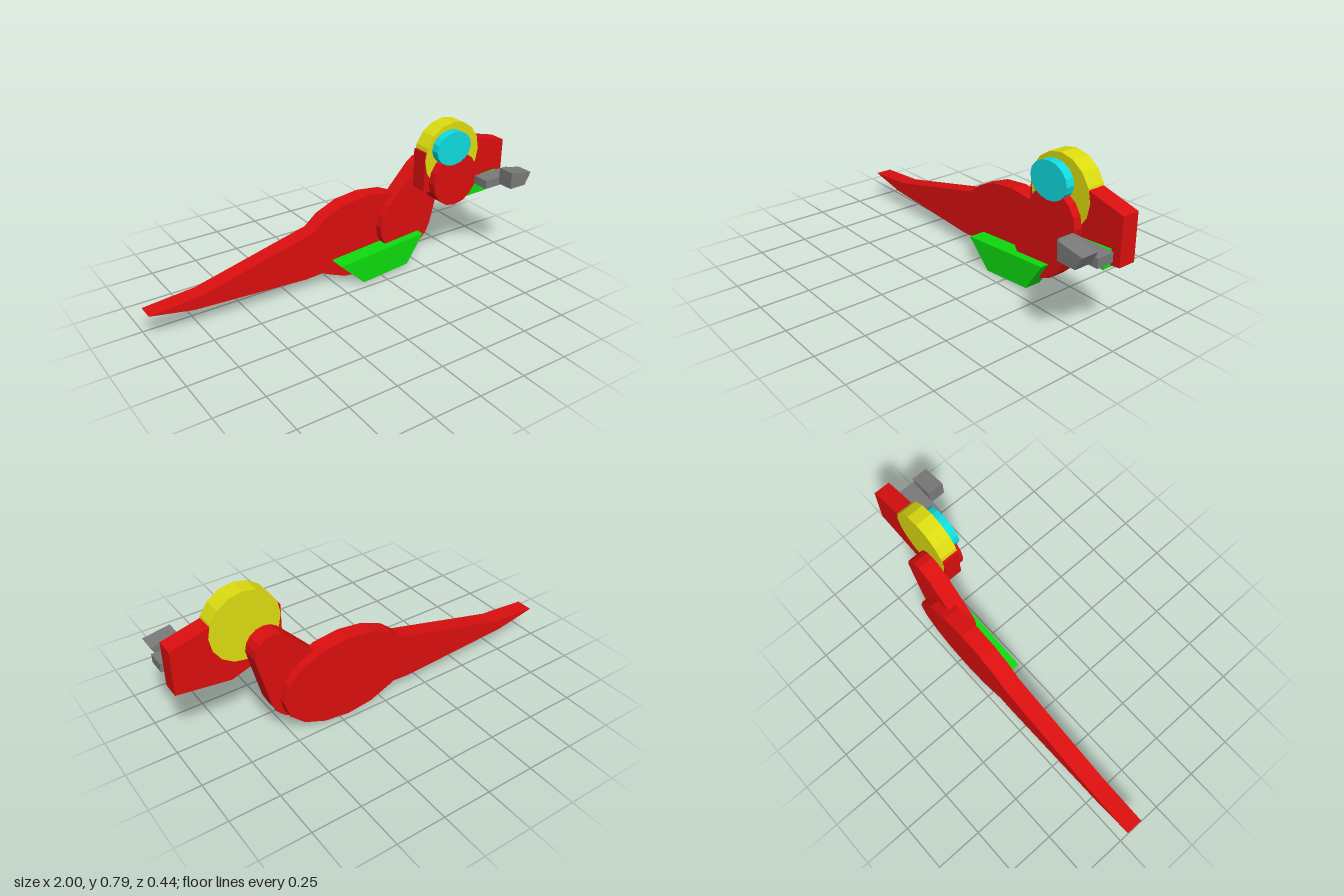
import * as THREE from 'three';

const paint = (name, color) => {
  const m = new THREE.MeshStandardMaterial({ color });
  m.name = name;
  return m;
};

// Points on an ellipse, counter-clockwise between two angles in degrees
const arc = (cx, cy, rx, ry, from, to, steps) =>
  Array.from({ length: steps + 1 }, (_, i) => {
    const a = THREE.MathUtils.degToRad(from + ((to - from) * i) / steps);
    return [cx + rx * Math.cos(a), cy + ry * Math.sin(a)];
  });
const disc = (cx, cy, rx, ry = rx) => arc(cx, cy, rx, ry, 0, 337.5, 15);

export function createModel() {
  const red = paint('red', 0xdc0f0f);
  const yellow = paint('yellow', 0xdcdc10);
  const cyan = paint('cyan', 0x0fdce0);
  const green = paint('green', 0x0fdc0f);
  const gray = paint('gray', 0x7a7a7a);

  const group = new THREE.Group();
  group.name = 'layeredDinosaur';

  // A flat slab cut from an outline, between two depths
  const slab = (name, material, outline, back, front) => {
    const shape = new THREE.Shape(outline.map(([x, y]) => new THREE.Vector2(x, y)));
    const geometry = new THREE.ExtrudeGeometry(shape, { depth: front - back, bevelEnabled: false });
    geometry.translate(0, 0, back);
    const mesh = new THREE.Mesh(geometry, material);
    mesh.name = name;
    group.add(mesh);
  };

  // Oval body running into a pointed tail
  slab('bodyAndTail', red, [
    ...arc(0.2, 0.222, 0.35, 0.222, -135, 135, 12),
    [-0.115, 0.323], [-0.73, 0.17], [-1, 0.147], [-0.78, 0.105], [-0.16, 0.07], [-0.067, 0.077],
  ], -0.222, -0.133);

  // Neck, wide at the chest and rounded at the top
  slab('neck', red, [
    ...arc(0.56, 0.487, 0.097, 0.097, -22.5, 135, 7),
    ...arc(0.43, 0.25, 0.165, 0.165, 135, 345, 10),
  ], -0.177, -0.088);

  slab('belly', green, [[-0.01, 0.135], [0.13, 0], [0.41, 0.025], [0.51, 0.178]], -0.133, -0.044);

  // Head layers
  slab('snout', red, [
    [0.467, 0.45], [0.73, 0.36], [1, 0.395], [1, 0.624], [0.81, 0.672], [0.467, 0.66],
  ], -0.088, 0);
  slab('crest', yellow, disc(0.645, 0.615, 0.176), -0.09, 0.002);
  slab('cheek', red, disc(0.642, 0.492, 0.143), -0.044, 0.044);
  slab('eye', cyan, disc(0.62, 0.667, 0.11, 0.09), -0.044, 0.046);
  slab('jaw', green, [[0.72, 0.375], [0.953, 0.383], [0.953, 0.465], [0.75, 0.45]], -0.044, 0.042);

  // Forearm and claw
  slab('forearm', gray, [[0.775, 0.437], [1, 0.437], [1, 0.482], [0.775, 0.482]], 0.044, 0.133);
  slab('claw', gray, [[0.865, 0.447], [0.965, 0.447], [1, 0.512], [0.865, 0.535]], 0.133, 0.222);

  return group;
}
